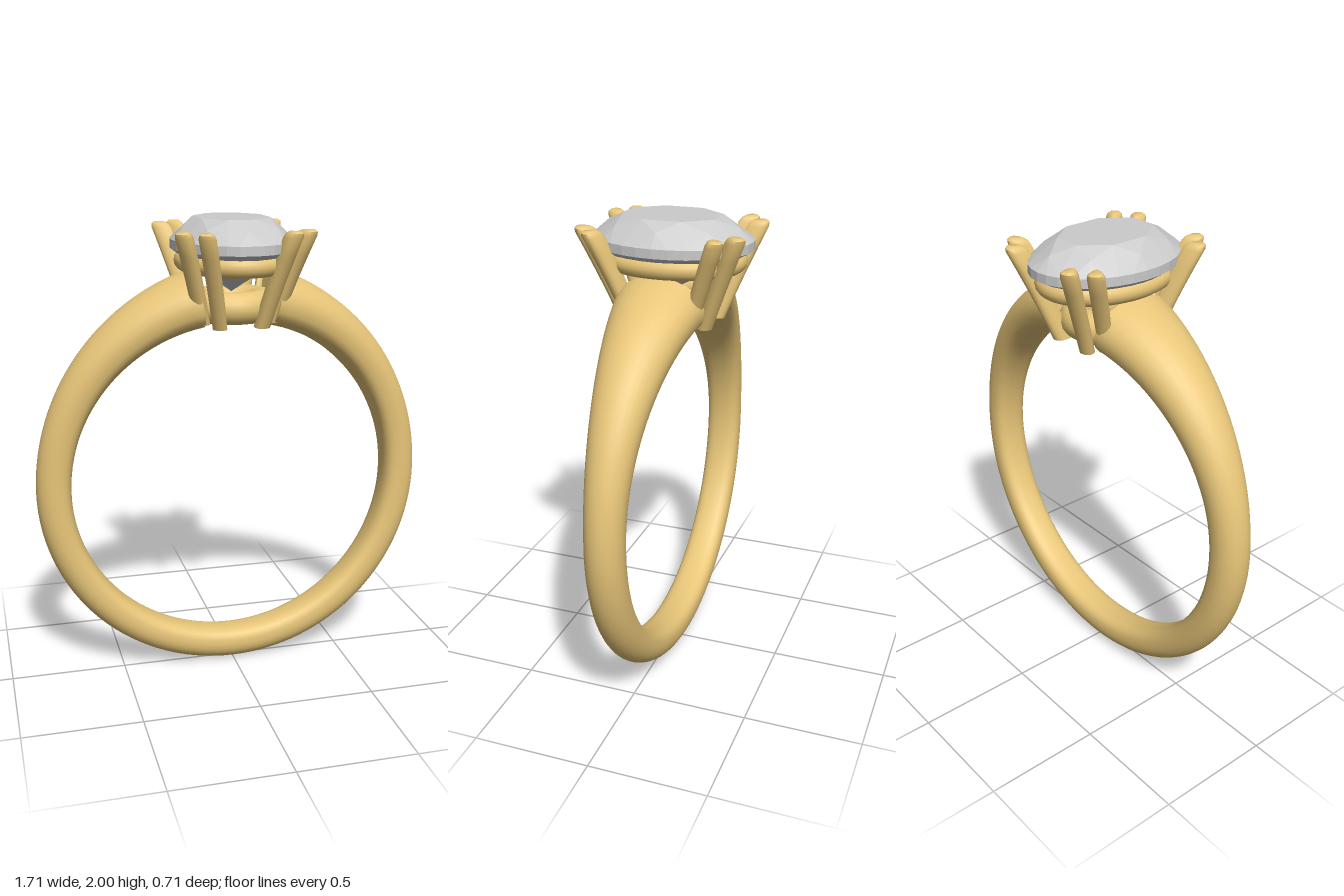
import * as THREE from 'three';
import { toCreasedNormals } from 'three/addons/utils/BufferGeometryUtils.js';

const gold = new THREE.MeshStandardMaterial({ color: 0xe8c679 });
const grey = new THREE.MeshStandardMaterial({ color: 0xcccccc, flatShading: true });
const V = (x, y, z) => new THREE.Vector3(x, y, z);

// Closed solid through a list of equal-sized rings, capped at both ends
function loft(rings, crease = 0.8) {
  const n = rings[0].length, pts = rings.flat(), tri = [];
  for (let i = 0; i < rings.length - 1; i++) {
    for (let j = 0; j < n; j++) {
      const a = i * n + j, b = i * n + (j + 1) % n;
      tri.push([a, b, b + n], [a, b + n, a + n]);
    }
  }
  const last = (rings.length - 1) * n;
  for (let j = 1; j < n - 1; j++) tri.push([0, j + 1, j], [last, last + j, last + j + 1]);
  // turn every face outwards
  const volume = tri.reduce((s, [a, b, c]) => s + pts[a].dot(pts[b].clone().cross(pts[c])), 0);
  const index = tri.flatMap(([a, b, c]) => (volume > 0 ? [a, b, c] : [a, c, b]));
  const geo = new THREE.BufferGeometry().setFromPoints(pts);
  geo.setIndex(index);
  return toCreasedNormals(geo, crease);
}

// Finger band: domed outside, flatter inside, wider and thicker towards the setting
function bandGeometry() {
  const rings = [], steps = 112, sides = 28, gap = 0.2, inner = 0.707;
  for (let i = 0; i <= steps; i++) {
    const phi = gap + (i / steps) * (2 * Math.PI - 2 * gap);
    const grow = Math.cos(phi) > 0 ? 1 - Math.abs(Math.sin(phi)) : 0;
    const outer = 0.855 + 0.11 * grow, half = 0.08 + 0.137 * grow;
    const mid = inner + 0.45 * (outer - inner);
    const ring = [];
    for (let j = 0; j < sides; j++) {
      const a = (j / sides) * 2 * Math.PI, c = Math.cos(a), s = Math.sin(a);
      const p = c > 0 ? 1 : 0.72;
      const r = mid + (c > 0 ? outer - mid : mid - inner) * Math.sign(c) * Math.abs(c) ** p;
      const z = half * Math.sign(s) * Math.abs(s) ** p;
      ring.push(V(r * Math.sin(phi), 0.86 + r * Math.cos(phi), z));
    }
    rings.push(ring);
  }
  return loft(rings);
}

// Claw: wedge section, narrow towards the stone, leaning outwards with a rounded tip
function clawGeometry(foot, tip) {
  const middle = foot.clone().lerp(tip, 0.5).add(V(-0.008, 0, -0.008));
  const curve = new THREE.QuadraticBezierCurve3(foot, middle, tip);
  const out = V(tip.x, 0, tip.z).normalize(), side = V(out.z, 0, -out.x);
  const stations = [[0, 0.85], [0.25, 0.9], [0.5, 0.94], [0.75, 0.98], [0.94, 1], [0.98, 0.88], [1, 0.6]];
  return loft(stations.map(([t, k]) => {
    const c = curve.getPoint(t), ring = [];
    for (let j = 0; j < 16; j++) {
      const a = (j / 16) * 2 * Math.PI;
      ring.push(c.clone()
        .addScaledVector(out, 0.046 * k * Math.cos(a))
        .addScaledVector(side, 0.038 * k * Math.sin(a) * (0.85 + 0.4 * Math.cos(a))));
    }
    return ring;
  }));
}

// Oval ring of round wire
function ovalRing(rx, rz, y, wire) {
  const points = [];
  for (let i = 0; i < 32; i++) {
    const a = (i / 32) * 2 * Math.PI;
    points.push(V(rx * Math.cos(a), y, rz * Math.sin(a)));
  }
  return new THREE.TubeGeometry(new THREE.CatmullRomCurve3(points, true), 64, wire, 16, true);
}

// Oval brilliant cut: table, star, kite and girdle facets above, pavilion below
function stoneGeometry() {
  const centre = V(0, 1.89, 0), pos = [];
  const at = (eighth, k, y) => {
    const a = (eighth + 0.5) * Math.PI / 4;
    return V(0.253 * k * Math.cos(a), y, 0.34 * k * Math.sin(a));
  };
  const face = (a, b, c) => {
    const normal = b.clone().sub(a).cross(c.clone().sub(a));
    const outward = normal.dot(a.clone().add(b).add(c).divideScalar(3).sub(centre)) > 0;
    for (const p of outward ? [a, b, c] : [a, c, b]) pos.push(p.x, p.y, p.z);
  };
  const table = i => at(i, 0.62, 2), star = i => at(i + 0.5, 0.82, 1.963);
  const top = i => at(i, 1, 1.91), low = i => at(i, 1, 1.872);
  const pavilion = i => at(i + 0.5, 0.42, 1.765), culet = V(0, 1.69, 0);
  for (let i = 0; i < 8; i++) {
    face(V(0, 2, 0), table(i), table(i + 1));
    face(table(i), star(i), table(i + 1));
    face(table(i), star(i - 1), top(i));
    face(table(i), star(i), top(i));
    face(low(i), pavilion(i - 1), pavilion(i));
    face(culet, pavilion(i - 1), pavilion(i));
    for (let j = 0; j < 4; j++) {
      const a = i + j / 4, b = a + 0.25;
      face(star(i), top(a), top(b));
      face(top(a), top(b), low(b));
      face(top(a), low(b), low(a));
      face(pavilion(i), low(a), low(b));
    }
  }
  const geo = new THREE.BufferGeometry();
  geo.setAttribute('position', new THREE.Float32BufferAttribute(pos, 3));
  geo.computeVertexNormals();
  return geo;
}

export function createModel() {
  const model = new THREE.Group();
  model.name = 'ring';
  const add = (name, geometry, material = gold) => {
    const mesh = new THREE.Mesh(geometry, material);
    mesh.name = name;
    model.add(mesh);
  };

  add('band', bandGeometry());
  add('lowerGallery', ovalRing(0.13, 0.12, 1.635, 0.068));
  add('upperGallery', ovalRing(0.195, 0.268, 1.82, 0.043));
  add('stone', stoneGeometry(), grey);

  // Four pairs of claws
  for (const sx of [1, -1]) {
    for (const sz of [1, -1]) {
      const name = (sz > 0 ? 'front' : 'back') + (sx > 0 ? 'Left' : 'Right');
      const outer = clawGeometry(V(0.145, 1.575, 0.115), V(0.252, 1.963, 0.255));
      const inner = clawGeometry(V(0.085, 1.56, 0.16), V(0.175, 1.963, 0.318));
      for (const [label, geo] of [['OuterClaw', outer], ['InnerClaw', inner]]) {
        geo.scale(sx, 1, sz);
        // mirroring once reverses the corners, so swap them back
        if (sx * sz < 0) {
          for (const key of ['position', 'normal']) {
            const at = geo.attributes[key], v = V(0, 0, 0), w = V(0, 0, 0);
            for (let i = 0; i < at.count; i += 3) {
              v.fromBufferAttribute(at, i + 1);
              w.fromBufferAttribute(at, i + 2);
              at.setXYZ(i + 1, w.x, w.y, w.z);
              at.setXYZ(i + 2, v.x, v.y, v.z);
            }
          }
        }
        add(name + label, geo);
      }
    }
  }
  return model;
}
